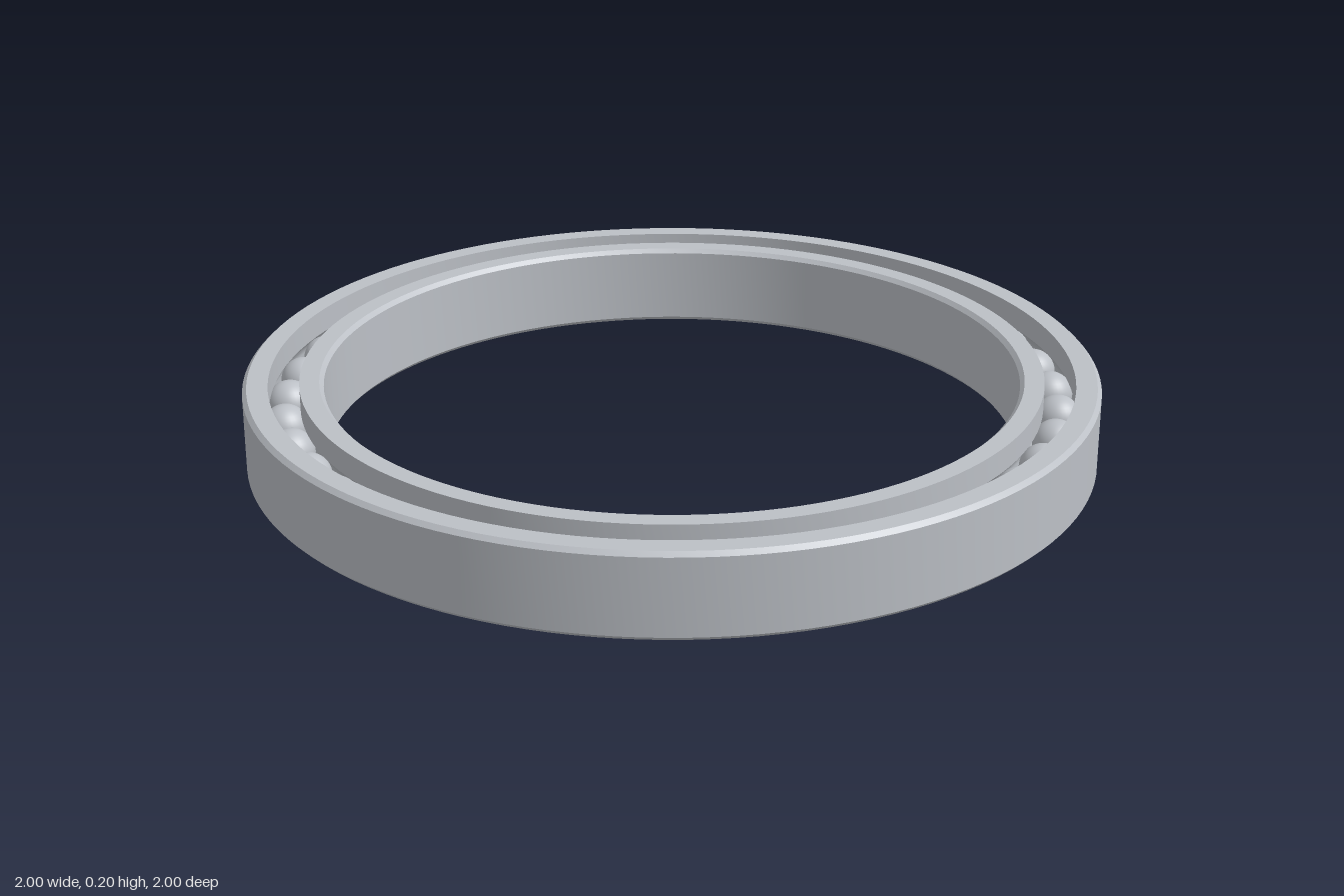
import * as THREE from 'three';
import { toCreasedNormals } from 'three/addons/utils/BufferGeometryUtils.js';

const HEIGHT = 0.2, MID = HEIGHT / 2;
const PITCH = 0.905, BALL = 0.054, GROOVE = 0.055, HALF_GAP = 0.036;
const CHAMFER = 0.01, BALL_COUNT = 39;

// Raceway groove: an arc about the ball centre, swept from one angle to another
function groove(from, to, steps = 12) {
  const points = [];
  for (let i = 0; i <= steps; i++) {
    const a = from + (to - from) * i / steps;
    points.push([PITCH + GROOVE * Math.cos(a), MID + GROOVE * Math.sin(a)]);
  }
  return points;
}

// Closed cross-section, anticlockwise, spun about the y axis
function ring(name, profile, material) {
  const points = [...profile, profile[0]].map(([x, y]) => new THREE.Vector2(x, y));
  const geometry = toCreasedNormals(new THREE.LatheGeometry(points, 128), 0.5);
  const mesh = new THREE.Mesh(geometry, material);
  mesh.name = name;
  return mesh;
}

export function createModel() {
  const steel = new THREE.MeshStandardMaterial({ color: 0xbcc0c6 });
  steel.name = 'steel';
  const model = new THREE.Group();
  model.name = 'ballBearing';

  const half = Math.acos(HALF_GAP / GROOVE);
  const outerWall = PITCH + HALF_GAP, innerWall = PITCH - HALF_GAP;
  const rim = 1, bore = 0.813;

  // Outer ring with chamfered rim and a groove on its inside
  model.add(ring('outerRing', [
    [outerWall, 0], [rim - CHAMFER, 0], [rim, CHAMFER],
    [rim, HEIGHT - CHAMFER], [rim - CHAMFER, HEIGHT], [outerWall, HEIGHT],
    ...groove(half, -half),
  ], steel));

  // Inner ring with chamfered bore and a groove on its outside
  model.add(ring('innerRing', [
    [bore + CHAMFER, 0], [innerWall, 0],
    ...groove(Math.PI + half, Math.PI - half),
    [innerWall, HEIGHT], [bore + CHAMFER, HEIGHT],
    [bore, HEIGHT - CHAMFER], [bore, CHAMFER],
  ], steel));

  // Balls evenly spaced around the raceway
  const balls = new THREE.Group();
  balls.name = 'balls';
  const ballGeometry = new THREE.SphereGeometry(BALL, 32, 20);
  for (let i = 0; i < BALL_COUNT; i++) {
    const a = i / BALL_COUNT * Math.PI * 2;
    const ball = new THREE.Mesh(ballGeometry, steel);
    ball.name = 'ball';
    ball.position.set(PITCH * Math.cos(a), MID, PITCH * Math.sin(a));
    balls.add(ball);
  }
  model.add(balls);
  return model;
}
